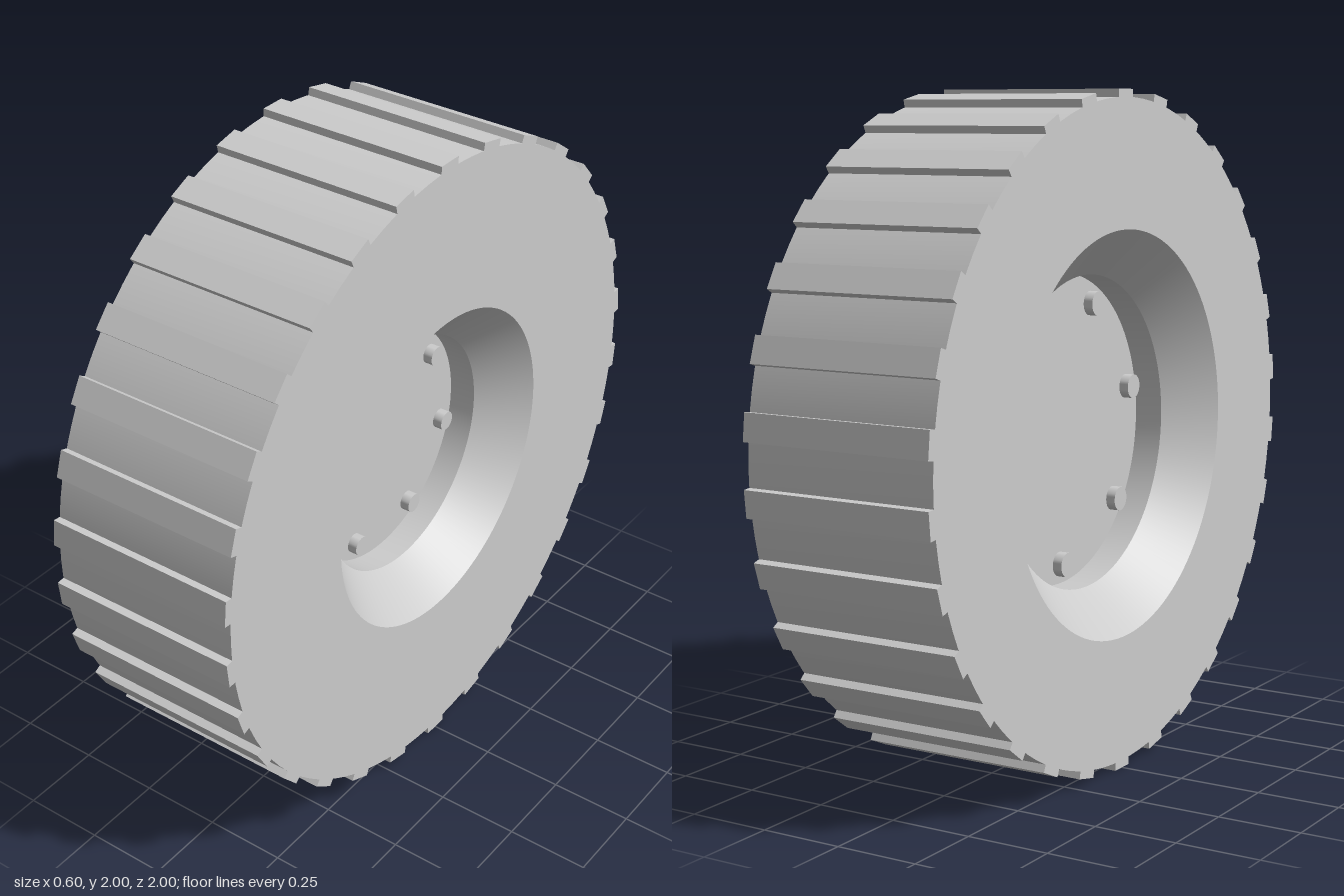
import * as THREE from 'three';
import { toCreasedNormals } from 'three/addons/utils/BufferGeometryUtils.js';

const RADIUS = 0.977, HALF_WIDTH = 0.3, TREADS = 30, BOLTS = 7;
const material = new THREE.MeshStandardMaterial({ color: 0xcccccc });

function addMesh(parent, name, geometry) {
  const mesh = new THREE.Mesh(geometry, material);
  mesh.name = name;
  parent.add(mesh);
  return mesh;
}

// Ring of bolts on one hub face; side is +1 or -1 along x
function addBolts(parent, name, side, faceX, pitch, radius, start) {
  const ring = new THREE.Group();
  ring.name = name;
  const height = 0.03;
  const bolt = toCreasedNormals(new THREE.CylinderGeometry(radius, radius, height, 24), 0.6);
  bolt.rotateZ(-side * Math.PI / 2);
  for (let i = 0; i < BOLTS; i++) {
    const a = start + i * 2 * Math.PI / BOLTS;
    addMesh(ring, 'bolt', bolt)
      .position.set(side * (faceX + height / 2), pitch * Math.cos(a), pitch * Math.sin(a));
  }
  parent.add(ring);
}

export function createModel() {
  const model = new THREE.Group();
  const wheel = new THREE.Group();
  wheel.name = 'wheel';
  wheel.position.y = 1;
  model.add(wheel);

  // Tyre and hub in one turned profile: radius, position along the axle
  const profile = [
    [0, -0.08], [0.465, -0.08], [0.465, -0.17], [0.6, -HALF_WIDTH], [RADIUS, -HALF_WIDTH],
    [RADIUS, HALF_WIDTH], [0.495, HALF_WIDTH], [0.37, 0.165], [0.37, 0.08], [0, 0.08],
  ].map(([r, x]) => new THREE.Vector2(r, x));
  const body = toCreasedNormals(new THREE.LatheGeometry(profile, 120), 0.3);
  body.rotateZ(-Math.PI / 2);
  addMesh(wheel, 'tyreAndHub', body);

  // Tread bars across the full width
  const treads = new THREE.Group();
  treads.name = 'treads';
  const inner = 0.968, outer = 0.9995;
  const bar = new THREE.BoxGeometry(2 * HALF_WIDTH, outer - inner, 0.08);
  bar.translate(0, (inner + outer) / 2, 0);
  for (let i = 0; i < TREADS; i++) {
    addMesh(treads, 'treadBar', bar).rotation.x = i * 2 * Math.PI / TREADS;
  }
  wheel.add(treads);

  // The narrow recess has a bolt at the top, the wide one at the bottom
  addBolts(wheel, 'leftBolts', 1, 0.08, 0.313, 0.03, 0);
  addBolts(wheel, 'rightBolts', -1, 0.08, 0.405, 0.037, Math.PI);

  return model;
}
